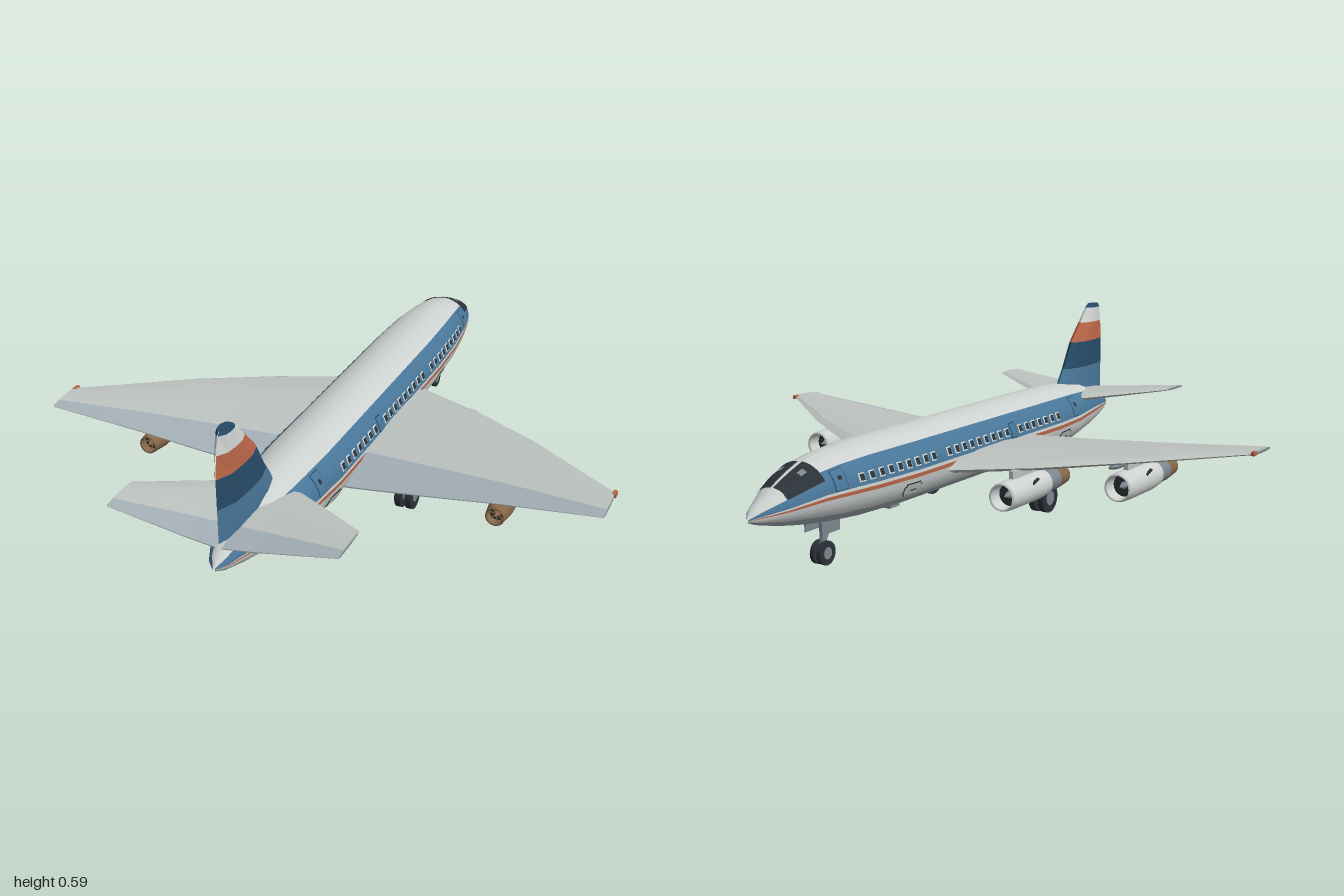
import * as THREE from 'three';

const mat = (name, color, side = THREE.FrontSide) =>
  Object.assign(new THREE.MeshStandardMaterial({ color, side }), { name });
const M = {
  white: mat('white paint', 0xccd1cf),
  wing: mat('wing grey', 0xbcc2c0),
  flap: mat('flap blue grey', 0xa3afb6),
  blue: mat('blue paint', 0x487597),
  navy: mat('navy paint', 0x264a67),
  orange: mat('orange paint', 0xb86548),
  dark: mat('dark glass and rubber', 0x2b3238, THREE.DoubleSide),
  steel: mat('steel', 0x7b868e),
  bronze: mat('bronze exhaust', 0x86664a, THREE.DoubleSide),
};

// Surface through rows of points
function grid(rows, flip, flat) {
  const n = rows[0].length, idx = [];
  for (let i = 0; i < rows.length - 1; i++)
    for (let j = 0; j < n - 1; j++) {
      const a = i * n + j, b = a + n, c = b + 1, d = a + 1;
      idx.push(...(flip ? [a, c, b, a, d, c] : [a, b, c, a, c, d]));
    }
  let g = new THREE.BufferGeometry();
  g.setAttribute('position', new THREE.Float32BufferAttribute(rows.flat(2), 3));
  g.setIndex(idx);
  if (flat) g = g.toNonIndexed();
  g.computeVertexNormals();
  return g;
}

// Fuselage sections: z, half width, bottom, top
const SECTIONS = [
  [-1, .004, .19, .2], [-.97, .028, .178, .225], [-.9, .062, .16, .262], [-.84, .082, .148, .29],
  [-.78, .096, .138, .312], [-.7, .11, .128, .325], [-.58, .123, .118, .333], [-.4, .13, .112, .335],
  [.45, .13, .112, .335], [.6, .122, .12, .332], [.75, .1, .147, .318], [.9, .06, .178, .275],
  [.97, .03, .195, .24], [1, .004, .208, .218],
];
function hull(z, deg, off, s) {
  let i = 0;
  while (i < SECTIONS.length - 2 && z > SECTIONS[i + 1][0]) i++;
  const a = SECTIONS[i], b = SECTIONS[i + 1], k = (z - a[0]) / (b[0] - a[0]);
  const [w, lo, hi] = [1, 2, 3].map(c => a[c] + (b[c] - a[c]) * k);
  const t = deg * Math.PI / 180;
  return [s * (w + off) * Math.cos(t), (lo + hi) / 2 + ((hi - lo) / 2 + off) * Math.sin(t), z];
}

// Sections as chord fraction and height, from trailing edge over the top and back below
const WING_FOIL = [[1, -.32], [.78, .3], [.49, .5], [.27, .48], [.08, .3], [0, 0],
  [.08, -.25], [.4, -.45], [.75, -.48], [1, -.38]];
const FIN_FOIL = [[1, .03], [.78, .42], [.49, .5], [.27, .47], [.08, .28], [0, 0],
  [.08, -.28], [.27, -.47], [.49, -.5], [.78, -.42], [1, -.03]];
const foilRow = (foil, place, [p, z0, z1, y, t]) =>
  foil.map(([f, h]) => place(p, y + h * t, z0 + (z1 - z0) * f));

export function createModel() {
  const root = new THREE.Group();
  root.name = 'airliner';
  const add = (name, geo, m, x = 0, y = 0, z = 0) => {
    const mesh = new THREE.Mesh(geo, m);
    mesh.name = name;
    mesh.position.set(x, y, z);
    root.add(mesh);
    return mesh;
  };
  // Piece of the hull surface between two stations and two angles
  const patch = (name, m, s, z0, z1, t0, t1, off = 0) => {
    const zs = [z0, ...SECTIONS.map(q => q[0]).filter(z => z > z0 && z < z1), z1];
    const nt = Math.max(1, Math.ceil((t1 - t0) / 10));
    const rows = zs.map(z => Array.from({ length: nt + 1 },
      (_, j) => hull(z, t0 + (t1 - t0) * j / nt, off, s)));
    add(name, grid(rows, s > 0), m);
  };
  const rod = (r0, r1, h, n = 16) => new THREE.CylinderGeometry(r0, r1, h, n);
  const box = (a, b, c) => new THREE.BoxGeometry(a, b, c);

  // Wing or tailplane: grey top, blue-grey flap and steel underside
  const surface = (name, stations, s) => {
    const place = (x, y, z) => [s * x, y, z];
    const last = stations.at(-1);
    const all = [...stations, [last[0], last[1], last[2], last[3], 0]];
    for (const [part, m, from, to] of [['Top', M.wing, 1, 7], ['Flap', M.flap, 0, 2], ['Underside', M.steel, 6, 10]])
      add(name + part, grid(all.map(q => foilRow(WING_FOIL.slice(from, to), place, q)), s < 0, true), m);
    add(name + 'TrailingEdge', grid(all.map(q =>
      foilRow([WING_FOIL[9], WING_FOIL[0]], place, q)), s < 0, true), M.flap);
  };

  for (const s of [1, -1]) {
    // Hull paint bands, with a larger white area on the nose
    patch('belly', M.flap, s, -1, 1, -90, -40);
    patch('lowerSide', M.white, s, -1, 1, -40, -6);
    patch('orangeStripe', M.orange, s, -1, 1, -6, 0);
    patch('whiteStripe', M.white, s, -1, 1, 0, 5);
    patch('noseBlueBand', M.blue, s, -1, -.9, 5, 32);
    patch('noseTop', M.white, s, -1, -.9, 32, 90);
    patch('blueBand', M.blue, s, -.9, 1, 5, 48);
    patch('roof', M.white, s, -.9, 1, 48, 90);

    // Windscreen
    patch('windscreen', M.dark, s, -.9, -.78, 30, 86, .003);
    patch('windscreenPane', M.steel, s, -.83, -.808, 60, 72, .005);

    // Cabin windows, with an exit over the wing
    for (let i = 0; i < 27; i++) {
      const z = .43 - i * .0415;
      if (i === 7 || i === 17) continue;
      patch('windowFrame', M.white, s, z - .0125, z + .0125, 11, 25, .002);
      patch('windowPane', M.dark, s, z - .009, z + .009, 13, 23, .004);
    }
    patch('exitOutline', M.navy, s, .122, .157, 6, 32, .0015);
    patch('exit', M.blue, s, .126, .153, 8, 30, .003);

    // Doors
    for (const z of [.57, -.73]) {
      patch('doorOutline', M.navy, s, z - .024, z + .024, 6, 44, .0015);
      patch('door', M.blue, s, z - .021, z + .021, 7.5, 42.5, .003);
      patch('doorWindow', M.dark, s, z - .007, z + .007, 24, 31, .0045);
    }
    // Cargo hatches with cut corners
    for (const z of [.49, -.42]) {
      for (const [w, h] of [[.043, 7], [.035, 11]]) {
        patch('hatchOutline', M.dark, s, z - w, z + w, -23.5 - h, -23.5 + h, .0015);
        patch('hatch', M.white, s, z - w + .003, z + w - .003, -22 - h, -25 + h, .003);
      }
      patch('hatchHandle', M.dark, s, z - .014, z + .014, -24.5, -22.5, .0045);
    }

    // Wings and tailplane
    surface('wing', [[.05, -.3, .41, .2, .072], [.14, -.245, .41, .203, .07], [.36, -.13, .405, .215, .053],
      [.585, .02, .4, .23, .035], [.89, .265, .4, .249, .017]], s);
    surface('tailplane', [[.01, .61, .97, .277, .042], [.1, .66, .965, .284, .038],
      [.34, .825, .96, .312, .014]], s);
    add('wingtipLight', box(.012, .012, .025), M.orange, s * .889, .25, .272);
    add('flapFairing', new THREE.SphereGeometry(1, 12, 8).scale(.022, .01, .05), M.steel, s * .435, .157, .27)
      .rotation.z = s * .25;
    add('fairingStrut', box(.004, .05, .02), M.steel, s * .435, .184, .27);

    // Engines
    for (const [x, y, z] of [[.3, .135, -.225], [.57, .155, -.005]]) {
      const lathe = pts => new THREE.LatheGeometry(pts.map(([r, h]) => new THREE.Vector2(r, h)), 20)
        .rotateX(Math.PI / 2);
      add('nacelle', lathe([[.034, .06], [.037, .01], [.04, 0], [.044, .012], [.046, .05],
        [.046, .19], [.042, .24], [.037, .241]]), M.white, s * x, y, z);
      add('engineCore', lathe([[.039, .235], [.036, .31]]), M.steel, s * x, y, z);
      add('exhaust', lathe([[.037, .305], [.029, .375], [.024, .373], [.024, .345]]), M.bronze, s * x, y, z);
      for (const [r, d] of [[.035, .05], [.026, .348]])
        add('engineDisc', new THREE.CircleGeometry(r, 20), M.dark, s * x, y, z + d);
      add('intakeSpinner', new THREE.ConeGeometry(.012, .03, 12).rotateX(-Math.PI / 2), M.steel, s * x, y, z + .035);
      add('exhaustPlug', new THREE.ConeGeometry(.011, .03, 12).rotateX(Math.PI / 2), M.bronze, s * x, y, z + .362);
      for (let k = 0; k < 4; k++)
        add('exhaustVane', box(.05, .003, .004), M.bronze, s * x, y, z + .352).rotation.z = k * Math.PI / 4;
      add('pylon', box(.014, .05, .22), M.wing, s * x, y + .045, z + .17);
      add('nacelleStrake', box(.008, .006, .035), M.dark, s * (x + .038), y + .028, z + .14).rotation.x = -.3;
    }
  }

  // Landing gear: x, z, wheel radius, strut top, wheel spacing
  for (const [x, z, r, top, gap] of [[.225, .16, .048, .2, .017], [-.225, .16, .048, .2, .017],
    [0, -.69, .035, .15, .012]]) {
    add('gearStrut', rod(.009, .009, top - r, 10), M.steel, x, (top + r) / 2, z);
    add('gearAxle', rod(.007, .007, gap * 2, 8).rotateZ(Math.PI / 2), M.steel, x, r, z);
    add('gearBrace', rod(.005, .005, .09, 8), M.steel, x, r + .055, z + .025).rotation.x = .6;
    for (const s of [1, -1]) {
      add('wheel', rod(r, r, gap * 1.1, 20).rotateZ(Math.PI / 2), M.dark, x + s * gap, r, z);
      add('wheelHub', rod(r * .5, r * .5, gap * 1.3, 14).rotateZ(Math.PI / 2), M.steel, x + s * gap, r, z);
      add('gearDoor', box(.004, .035, .08), M.steel, x + s * .03, top - .035, z);
    }
  }

  // Fin in painted bands: height, leading edge, trailing edge, thickness
  const FIN = [[.275, .62, .97, .066], [.335, .66, .97, .066], [.375, .69, .97, .064], [.465, .745, .97, .058],
    [.53, .81, .96, .048], [.58, .86, .945, .038], [.592, .88, .935, .03]];
  const finRow = (q, k = 1) => foilRow(FIN_FOIL, (h, t, z) => [-t, h, z], [q[0], q[1], q[2], 0, q[3] * k]);
  const finBand = (name, m, a, b) => {
    const rows = FIN.slice(a, b + 1).map(q => finRow(q));
    if (a === 0) rows.unshift(finRow(FIN[0], 0));
    if (b === 6) rows.push(finRow(FIN[6], 0));
    add(name, grid(rows, false, true), m);
  };
  finBand('finBase', M.blue, 0, 2);
  finBand('finMiddle', M.navy, 2, 3);
  finBand('finStripe', M.orange, 3, 4);
  finBand('finUpper', M.white, 4, 5);
  finBand('finCap', M.navy, 5, 6);

  // Belly beacon
  add('bellyBeacon', box(.025, .02, .05), M.steel, 0, .106, -.36);
  return root;
}
